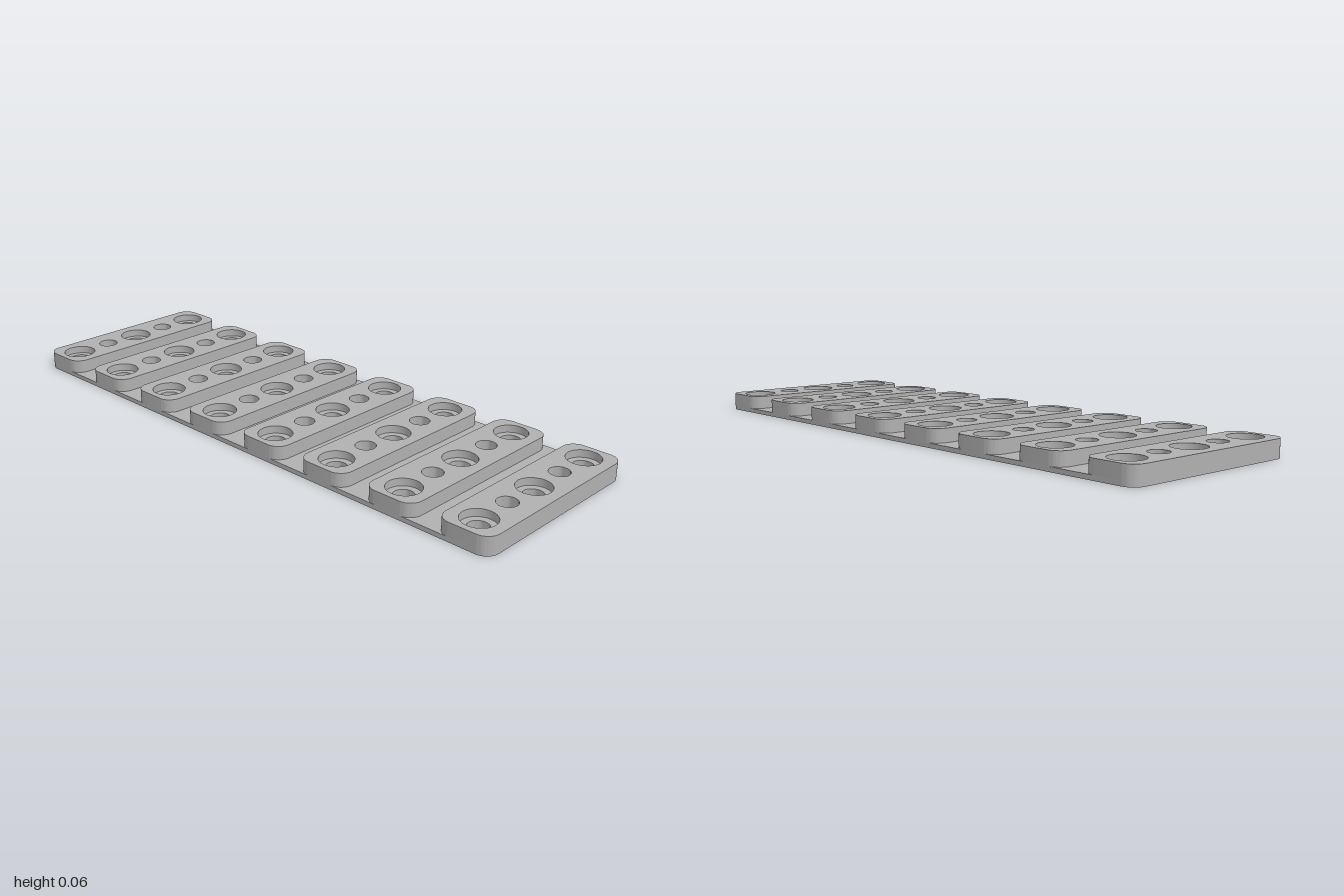
import * as THREE from 'three';
import { toCreasedNormals } from 'three/addons/utils/BufferGeometryUtils.js';

const DEPTH = 0.67, BAR_WIDTH = 0.18, PITCH = 0.26, CORNER = 0.045;
const HOLE = 0.033, BORE = 0.055, HOLE_PITCH = 0.13;
const BASE_TOP = 0.015, BORE_FLOOR = 0.035, TOP = 0.06;

// Rounded rectangle centred on the origin
function roundedRect(w, d, r) {
  const s = new THREE.Shape(), x = w / 2, y = d / 2;
  s.moveTo(-x + r, -y);
  s.lineTo(x - r, -y);
  s.absarc(x - r, -y + r, r, -Math.PI / 2, 0);
  s.lineTo(x, y - r);
  s.absarc(x - r, y - r, r, 0, Math.PI / 2);
  s.lineTo(-x + r, y);
  s.absarc(-x + r, y - r, r, Math.PI / 2, Math.PI);
  s.lineTo(-x, -y + r);
  s.absarc(-x + r, -y + r, r, Math.PI, Math.PI * 1.5);
  return s;
}

// Column of five holes; every other one takes the outer radius
function addHoles(shape, x, outerRadius) {
  for (let i = -2; i <= 2; i++) {
    const hole = new THREE.Path();
    hole.absarc(x, i * HOLE_PITCH, i % 2 === 0 ? outerRadius : HOLE, 0, Math.PI * 2, true);
    shape.holes.push(hole);
  }
}

// Upright slab between two heights
function slab(shape, y0, y1) {
  const g = new THREE.ExtrudeGeometry(shape, { depth: y1 - y0, bevelEnabled: false, curveSegments: 14 });
  g.rotateX(-Math.PI / 2).translate(0, y0, 0);
  return toCreasedNormals(g, 0.7);
}

export function createModel() {
  const model = new THREE.Group();
  model.name = 'ribbedMountingPlate';
  const grey = new THREE.MeshStandardMaterial({ name: 'grey', color: 0xb0b0b0 });
  const columns = Array.from({ length: 8 }, (_, i) => (i - 3.5) * PITCH);

  // Thin base plate, drilled through
  const baseShape = roundedRect(2, DEPTH, CORNER);
  columns.forEach((x) => addHoles(baseShape, x, HOLE));
  const base = new THREE.Mesh(slab(baseShape, 0, BASE_TOP), grey);
  base.name = 'basePlate';
  model.add(base);

  // Raised bars: drilled lower layer, counterbored upper layer
  const lowerShape = roundedRect(BAR_WIDTH, DEPTH, CORNER);
  addHoles(lowerShape, 0, HOLE);
  const upperShape = roundedRect(BAR_WIDTH, DEPTH, CORNER);
  addHoles(upperShape, 0, BORE);
  const lower = slab(lowerShape, BASE_TOP, BORE_FLOOR);
  const upper = slab(upperShape, BORE_FLOOR, TOP);

  columns.forEach((x, i) => {
    const bar = new THREE.Group();
    bar.name = `bar${i + 1}`;
    const low = new THREE.Mesh(lower, grey);
    low.name = 'barLower';
    const up = new THREE.Mesh(upper, grey);
    up.name = 'barCounterbored';
    bar.add(low, up);
    bar.position.x = x;
    model.add(bar);
  });
  return model;
}
